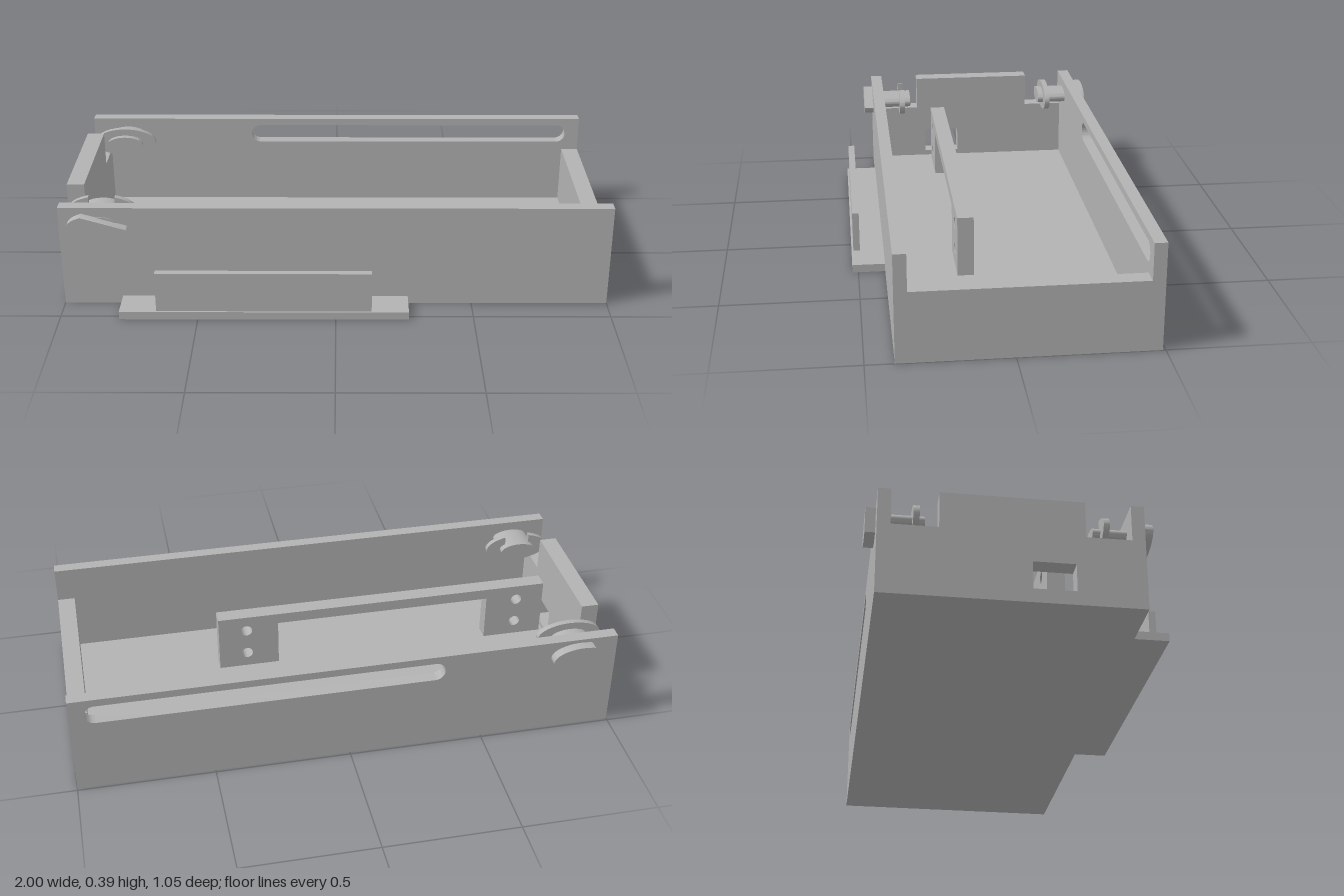
import * as THREE from 'three';
import { toCreasedNormals } from 'three/addons/utils/BufferGeometryUtils.js';

const rectPoints = (x0, y0, x1, y1) => [[x0, y0], [x1, y0], [x1, y1], [x0, y1]];
const toVectors = (pts) => pts.map(([x, y]) => new THREE.Vector2(x, y));
const polygon = (pts) => new THREE.Shape(toVectors(pts));
const rectHole = (...r) => new THREE.Path(toVectors(rectPoints(...r)));

// Rounded slot between x0 and x1
function slotHole(x0, x1, y0, y1) {
  const r = (y1 - y0) / 2, cy = (y0 + y1) / 2;
  const p = new THREE.Path();
  p.absarc(x1 - r, cy, r, -Math.PI / 2, Math.PI / 2, false);
  p.absarc(x0 + r, cy, r, Math.PI / 2, Math.PI * 1.5, false);
  p.closePath();
  return p;
}

function roundHole(x, y, r) {
  const p = new THREE.Path();
  p.absarc(x, y, r, 0, Math.PI * 2, false);
  return p;
}

// Part of an ellipse closed by a straight chord (angles in radians)
function ellipseShape(cx, cy, rx, ry, a0 = 0, a1 = Math.PI * 2) {
  const s = new THREE.Shape();
  s.absellipse(cx, cy, rx, ry, a0, a1, false);
  s.closePath();
  return s;
}

export function createModel() {
  const root = new THREE.Group();
  root.name = 'openTray';
  const grey = new THREE.MeshStandardMaterial({ color: 0xb2b2b2 });
  grey.name = 'grey';

  function add(name, geometry, parent = root) {
    const mesh = new THREE.Mesh(geometry, grey);
    mesh.name = name;
    parent.add(mesh);
    return mesh;
  }
  function box(name, x0, x1, y0, y1, z0, z1) {
    const g = new THREE.BoxGeometry(x1 - x0, y1 - y0, z1 - z0);
    g.translate((x0 + x1) / 2, (y0 + y1) / 2, (z0 + z1) / 2);
    return add(name, g);
  }
  // Extrude an x-y outline from z0 to z1
  function slab(name, shape, z0, z1, parent) {
    const g = new THREE.ExtrudeGeometry(shape, { depth: z1 - z0, bevelEnabled: false, curveSegments: 24 });
    g.translate(0, 0, z0);
    return add(name, toCreasedNormals(g, 0.6), parent);
  }

  // Tray floor and low end wall
  box('floor', -1, 1, 0, 0.03, -0.49, 0.4);
  box('lowEndWall', 0.935, 1, 0.03, 0.255, -0.445, 0.355);

  // Long walls with slots; the front one has a large opening
  for (const [name, z0, z1, front] of [['frontWall', 0.355, 0.4, true], ['backWall', -0.49, -0.445, false]]) {
    const wall = polygon(rectPoints(-1, 0.03, 1, 0.388));
    if (front) {
      wall.setFromPoints(toVectors([[-1, 0.03], [-0.72, 0.03], [-0.72, 0.248],
        [0.2, 0.248], [0.2, 0.03], [1, 0.03], [1, 0.388], [-1, 0.388]]));
    }
    wall.holes.push(slotHole(-0.35, 0.945, 0.287, 0.36));
    slab(name, wall, z0, z1);
  }

  // Stepped end wall with a small square window, drawn in z-y
  const stepped = polygon([[-0.445, 0.03], [0.355, 0.03], [0.355, 0.255], [0.2, 0.255],
    [0.2, 0.388], [-0.287, 0.388], [-0.287, 0.255], [-0.445, 0.255]]);
  stepped.holes.push(rectHole(0.02, 0.05, 0.165, 0.15));
  const end = new THREE.ExtrudeGeometry(stepped, { depth: 0.065, bevelEnabled: false });
  end.rotateY(-Math.PI / 2);
  end.translate(-0.935, 0, 0);
  add('steppedEndWall', end);

  // Inner bracket: two drilled tabs joined by a top bar
  const bracket = polygon([[-0.92, 0.03], [-0.685, 0.03], [-0.685, 0.215], [0.165, 0.215],
    [0.165, 0.03], [0.4, 0.03], [0.4, 0.257], [-0.92, 0.257]]);
  for (const x of [-0.81, 0.29]) {
    for (const y of [0.09, 0.195]) bracket.holes.push(roundHole(x, y, 0.022));
  }
  slab('innerBracket', bracket, 0.08, 0.14);

  // Outer ledge with upright panel
  box('frontLedge', -0.785, 0.265, 0, 0.03, 0.4, 0.522);
  box('frontPanel', -0.65, 0.13, 0.03, 0.183, 0.49, 0.515);

  // Front latch: cut oval head, oval shaft and open clip
  const cx = -0.86, cy = 0.323;
  const frontLatch = new THREE.Group();
  frontLatch.name = 'frontLatch';
  root.add(frontLatch);
  slab('latchHead', ellipseShape(cx, cy, 0.108, 0.05, 2.1, Math.PI * 2 - 0.1), 0.4, 0.437, frontLatch);
  slab('latchShaft', ellipseShape(cx, cy, 0.07, 0.03), 0.238, 0.403, frontLatch);
  const clip = new THREE.Shape();
  clip.absellipse(cx, cy, 0.125, 0.057, 1.97, Math.PI * 2 + 1.17, false);
  clip.absellipse(cx, cy, 0.07, 0.03, Math.PI * 2 + 0.8, 2.34, true);
  clip.closePath();
  slab('latchClip', clip, 0.264, 0.285, frontLatch);

  // Back latch: oval head with a flat side, shaft and full collar
  const backLatch = new THREE.Group();
  backLatch.name = 'backLatch';
  root.add(backLatch);
  slab('latchHead', ellipseShape(cx, cy, 0.11, 0.052, -1.98, 1.98), -0.525, -0.49, backLatch);
  slab('latchShaft', ellipseShape(cx, cy, 0.07, 0.03), -0.49, -0.327, backLatch);
  slab('latchCollar', ellipseShape(cx, cy, 0.122, 0.057), -0.37, -0.349, backLatch);

  return root;
}
